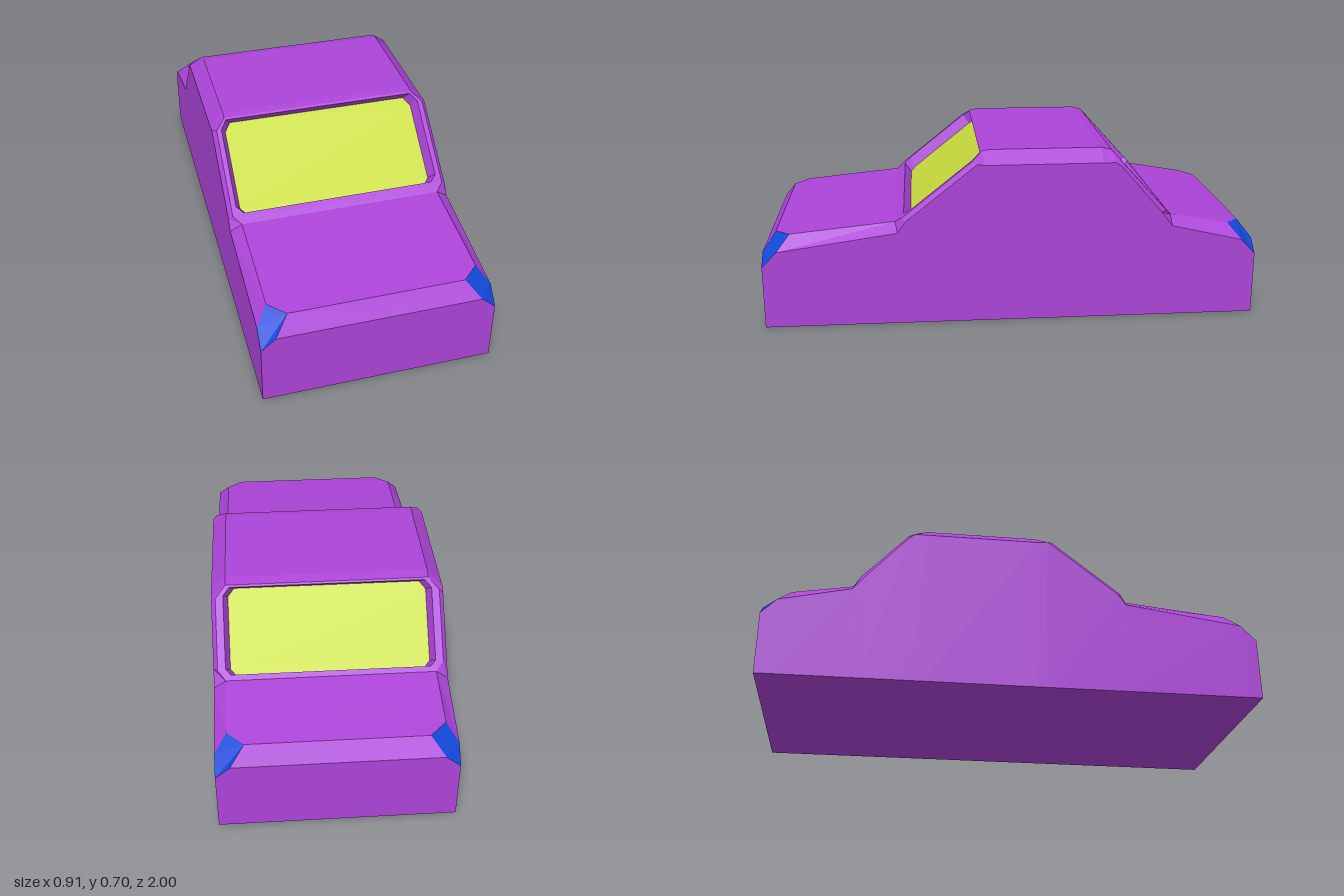
import * as THREE from 'three';

const W = 0.457; // half width of the body
const mat = (color, side = THREE.FrontSide) => new THREE.MeshStandardMaterial({ color, flatShading: true, side });
const paint = mat(0xac44d8), glass = mat(0xc8dc3c), blue = mat(0x1048d8);

const v = (x, y, z) => new THREE.Vector3(x, y, z);
const mirror = (p) => v(-p.x, p.y, p.z);
const flipZ = (p) => v(p.x, p.y, -p.z);

// Mesh from convex faces, each a counter-clockwise loop of points
function facesMesh(name, faces, material) {
  const pos = [];
  for (const f of faces)
    for (let i = 1; i < f.length - 1; i++)
      for (const p of [f[0], f[i], f[i + 1]]) pos.push(p.x, p.y, p.z);
  const g = new THREE.BufferGeometry();
  g.setAttribute('position', new THREE.Float32BufferAttribute(pos, 3));
  g.computeVertexNormals();
  const m = new THREE.Mesh(g, material);
  m.name = name;
  return m;
}
const mirrorFace = (f) => f.map(mirror).reverse();
// Closed symmetric loop from its right half, listed bottom to top
const loop = (half) => [...half, ...half.map(([x, y]) => [-x, y]).reverse()].map(([x, y]) => new THREE.Vector2(x, y));

// Sloped windows: foot and head as [z, y], half outlines as [x, distance up the slope]
const windows = [
  { name: 'windscreen', foot: [0.47, 0.42], head: [0.12, 0.70], depth: 0.045, inset: 0.02,
    frame: [[0.41, 0], [0.44, 0.038], [0.44, 0.397], [0.40, 0.448]],
    hole: [[0.395, 0.045], [0.42, 0.075], [0.42, 0.40], [0.395, 0.438]] },
  { name: 'rearWindow', foot: [-0.65, 0.42], head: [-0.40, 0.695], depth: 0.04, inset: 0.018,
    frame: [[0.41, 0], [0.44, 0.04], [0.44, 0.32], [0.40, 0.3716]],
    hole: [[0.39, 0.022], [0.41, 0.045], [0.41, 0.33], [0.385, 0.362]] },
];

// Points of a window frame in space, on the +x side
function framePoints(w) {
  const dz = w.head[0] - w.foot[0], dy = w.head[1] - w.foot[1], len = Math.hypot(dz, dy);
  return w.frame.map(([x, s]) => v(x, w.foot[1] + dy * s / len, w.foot[0] + dz * s / len));
}

function windowGroup(w) {
  const group = new THREE.Group();
  group.name = w.name;
  const up = v(0, w.head[1] - w.foot[1], w.head[0] - w.foot[0]).normalize();
  const right = v(Math.sign(w.foot[0]), 0, 0);
  group.matrix.makeBasis(right, up, right.clone().cross(up)).setPosition(0, w.foot[1], w.foot[0]);
  group.matrix.decompose(group.position, group.quaternion, group.scale);

  // Frame with an opening
  const outer = loop(w.frame), hole = loop(w.hole);
  const pane = loop(w.hole.map(([x, s]) => [x - w.inset, s]));
  const shape = new THREE.Shape(outer);
  shape.holes.push(new THREE.Path(hole));
  const frame = new THREE.Mesh(new THREE.ShapeGeometry(shape), paint);
  frame.name = w.name + 'Frame';

  // Recess walls running down to the pane
  const walls = hole.map((a, i) => {
    const j = (i + 1) % hole.length;
    return [v(pane[i].x, pane[i].y, -w.depth), v(pane[j].x, pane[j].y, -w.depth),
      v(hole[j].x, hole[j].y, 0), v(a.x, a.y, 0)];
  });
  const recess = facesMesh(w.name + 'Recess', walls, mat(0xac44d8, THREE.DoubleSide));

  const glassPane = new THREE.Mesh(new THREE.ShapeGeometry(new THREE.Shape(pane)), glass);
  glassPane.name = w.name + 'Glass';
  glassPane.position.z = -w.depth;
  group.add(frame, recess, glassPane);
  return group;
}

export function createModel() {
  const model = new THREE.Group();
  model.name = 'car';

  // Front corner points; the rear ones are their reflection
  const A = v(W, 0.255, 1), B = v(0.40, 0.305, 1), C = v(0.345, 0.372, 0.95);
  const D = v(0.41, 0.378, 0.89), E = v(W, 0.318, 0.94), F = v(W, 0, 1);

  // Upper and lower edges of the bevel, front to back
  const upper = [D, ...framePoints(windows[0]), v(0.40, 0.705, 0.09), v(0.40, 0.705, -0.36),
    ...framePoints(windows[1]).reverse(), flipZ(D)];
  const lower = [[0.94, 0.318], [0.46, 0.385], [0.43, 0.43], [0.14, 0.66], [0.11, 0.655], [0.09, 0.655],
    [-0.36, 0.655], [-0.41, 0.655], [-0.43, 0.642], [-0.605, 0.443], [-0.65, 0.385], [-0.94, 0.318]]
    .map(([z, y]) => v(W, y, z));

  // Side walls and the bevel above them
  const sides = [], bevels = [];
  const rim = [A, ...lower, flipZ(A)];
  for (let i = 0; i < rim.length - 1; i++)
    sides.push([v(W, 0, rim[i].z), v(W, 0, rim[i + 1].z), rim[i + 1], rim[i]]);
  for (let i = 0; i < upper.length - 1; i++)
    bevels.push([lower[i], lower[i + 1], upper[i + 1], upper[i]]);
  for (const [n, faces] of [['sideWall', sides], ['sideBevel', bevels]]) {
    model.add(facesMesh(n + 'Left', faces, paint));
    model.add(facesMesh(n + 'Right', faces.map(mirrorFace), paint));
  }

  // Hood, roof and rear deck
  const across = (...pts) => [...pts, ...pts.map(mirror).reverse()];
  model.add(facesMesh('hood', [across(C, D, upper[1])], paint));
  model.add(facesMesh('roof', [4, 5, 6].map((i) => across(upper[i], upper[i + 1])), paint));
  model.add(facesMesh('rearDeck', [across(upper[10], flipZ(D), flipZ(C))], paint));

  // Nose and tail, each with a sloped lip and two corner lamps
  const ends = [across(F, A, B), across(B, C)];
  const lamp = [B, A, E, D, C];
  for (const [n, turn] of [['front', (f) => f], ['rear', (f) => f.map(flipZ).reverse()]]) {
    model.add(facesMesh(n + 'Panel', ends.map(turn), paint));
    model.add(facesMesh(n + 'LampLeft', [turn(lamp)], blue));
    model.add(facesMesh(n + 'LampRight', [turn(mirrorFace(lamp))], blue));
  }

  // Flat underside
  model.add(facesMesh('underside', [across(flipZ(F), F)], paint));

  for (const w of windows) model.add(windowGroup(w));
  return model;
}
